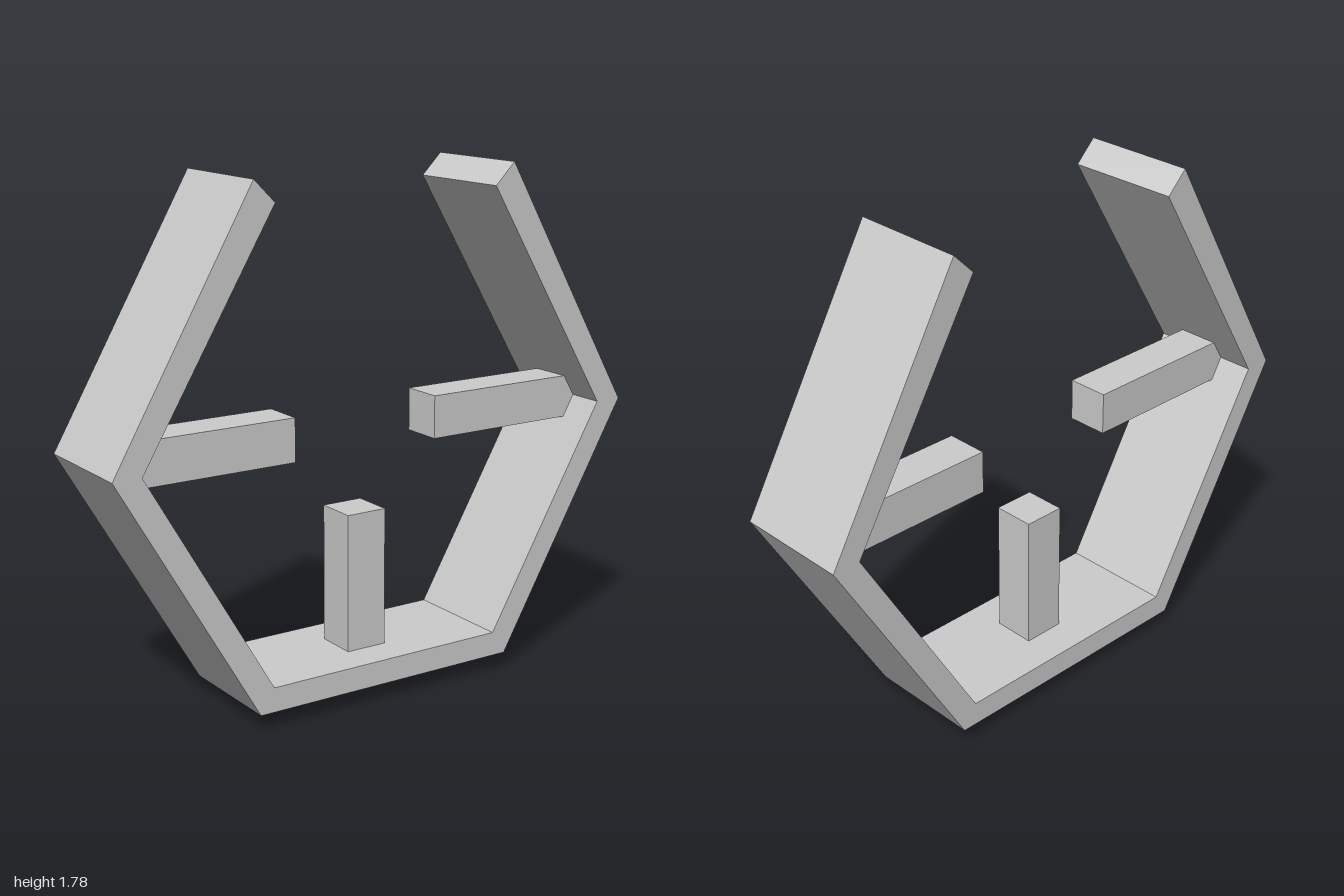
import * as THREE from 'three';

// Square post along +y from y = 0, closed at the tip and open at the base
function openPost(width, length) {
  const g = new THREE.BoxGeometry(width, length, width);
  const index = Array.from(g.index.array);
  index.splice(18, 6); // drop the bottom face
  g.setIndex(index);
  g.clearGroups();
  g.translate(0, length / 2, 0);
  return g;
}

export function createModel() {
  const model = new THREE.Group();
  const material = new THREE.MeshStandardMaterial({
    color: 0xcccccc, flatShading: true, side: THREE.DoubleSide,
  });
  const add = (name, geometry) => {
    const mesh = new THREE.Mesh(geometry, material);
    mesh.name = name;
    model.add(mesh);
    return mesh;
  };

  // Hexagonal band, open at the top: right half, mirrored for the left
  const outer = [[0.5, 0.06], [1, 0.92], [0.5, 1.785]];
  const inner = [[0.425, 1.71], [0.9, 0.92], [0.448, 0.145]];
  const mirror = (pts) => pts.map(([x, y]) => [-x, y]).reverse();
  const outline = [...outer, ...inner, ...mirror(inner), ...mirror(outer)];
  const depth = 0.41;
  const band = new THREE.ExtrudeGeometry(
    new THREE.Shape(outline.map(([x, y]) => new THREE.Vector2(x, y))),
    { depth, bevelEnabled: false },
  );
  band.translate(0, 0, -depth / 2);
  add('hexagonBand', band);

  // Centre post through the floor, and two arms pointing inward
  const post = openPost(0.15, 0.63);
  add('centrePost', post);
  for (const side of [1, -1]) {
    const arm = add(side > 0 ? 'leftArm' : 'rightArm', post);
    arm.position.set(side * 0.91, 0.92, 0);
    arm.rotation.z = side * Math.PI / 2;
  }
  return model;
}
